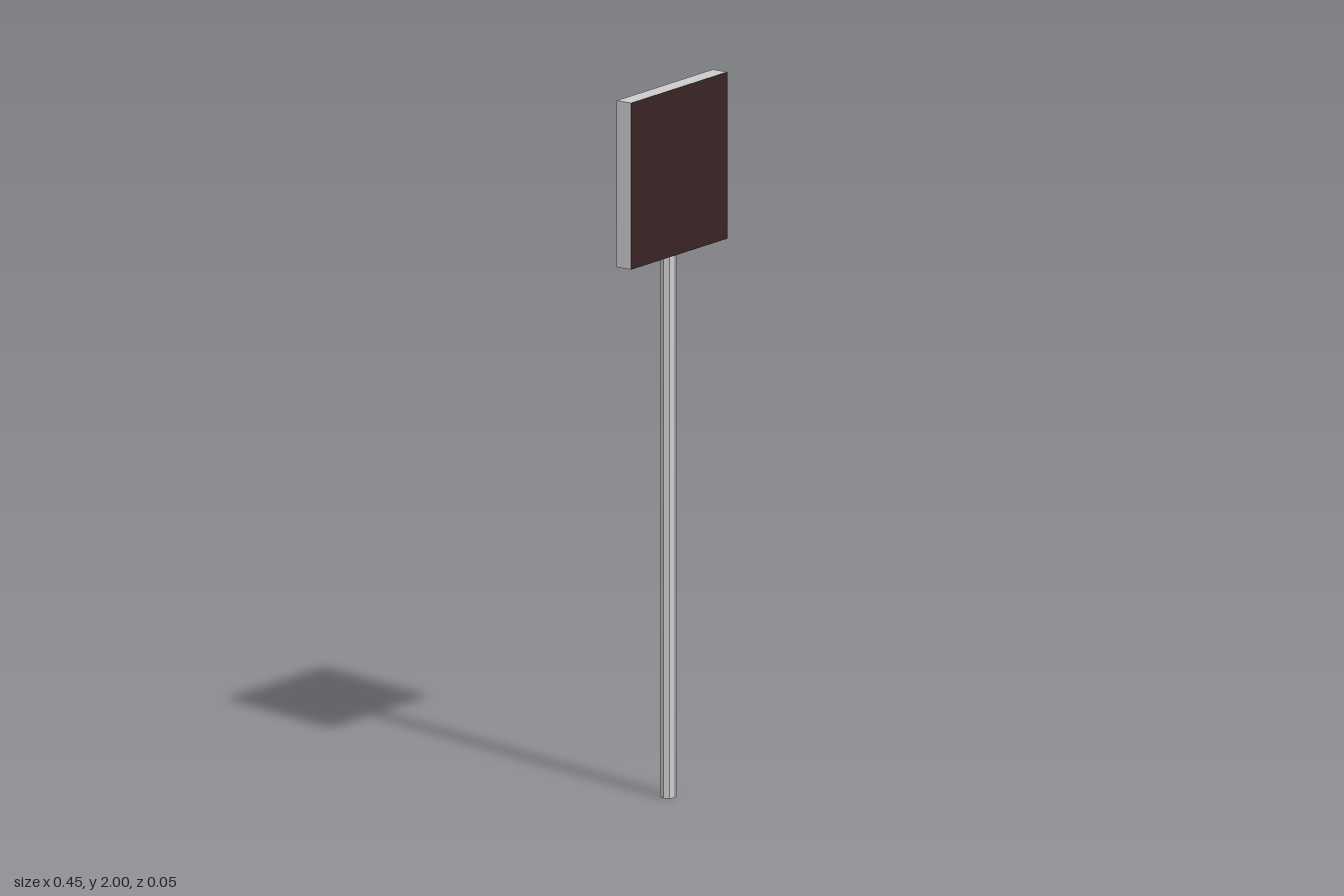
import * as THREE from 'three';

export function createModel() {
  const model = new THREE.Group();
  const grey = new THREE.MeshStandardMaterial({ color: 0xcccccc, flatShading: true });
  const dark = new THREE.MeshStandardMaterial({ color: 0x3a2525 });

  // Sign board: grey rim, dark front and back faces
  const bottom = 1.53, top = 2;
  const board = new THREE.Mesh(
    new THREE.BoxGeometry(0.447, top - bottom, 0.049),
    [grey, grey, grey, grey, dark, dark]
  );
  board.name = 'signBoard';
  board.position.y = (bottom + top) / 2;
  model.add(board);

  // Slim post, set slightly off centre under the board
  const post = new THREE.Mesh(new THREE.CylinderGeometry(0.0225, 0.0225, bottom, 8), grey);
  post.name = 'post';
  post.position.set(-0.017, bottom / 2, 0);
  model.add(post);

  return model;
}
